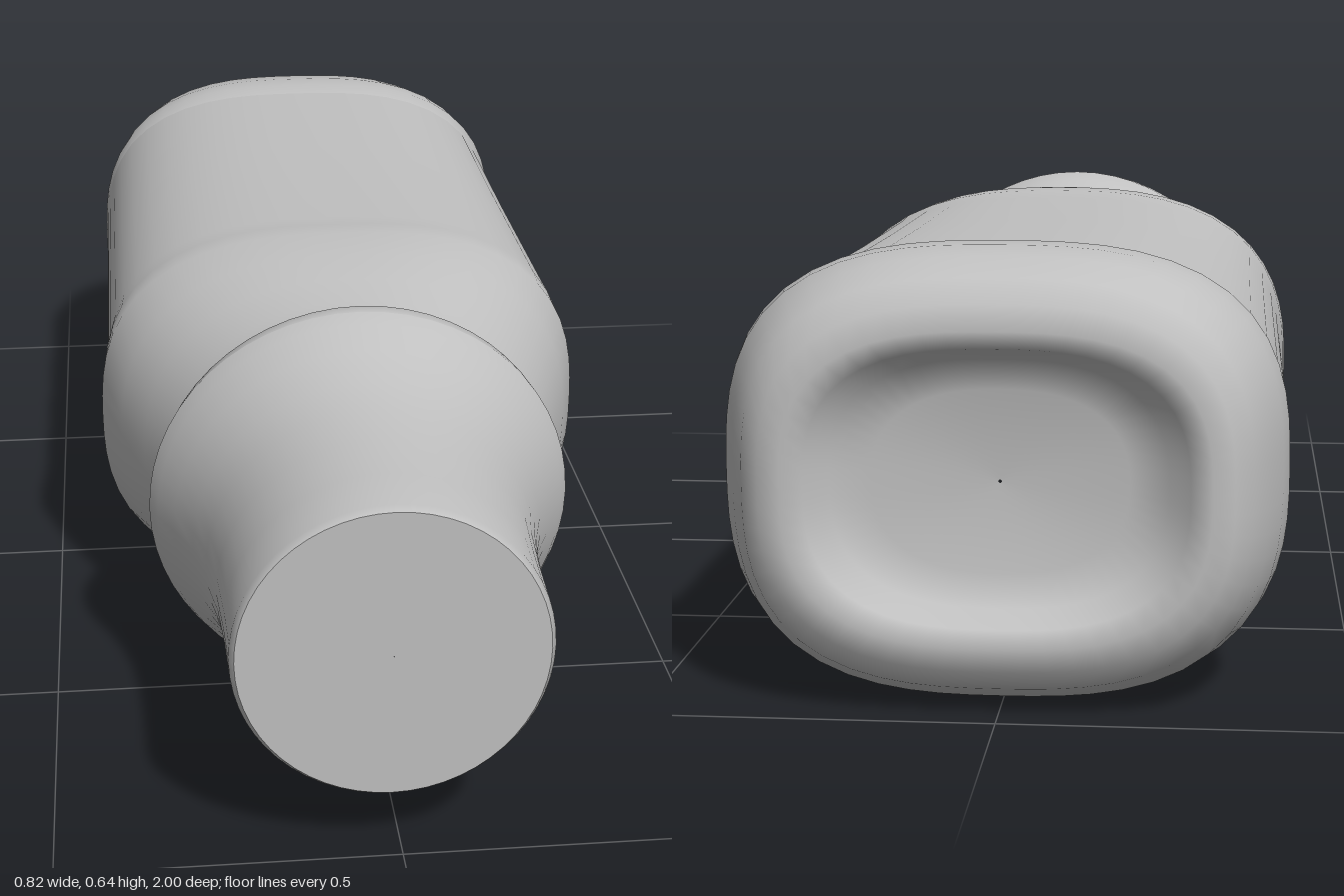
import * as THREE from 'three';

const SEGMENTS = 56;

// Superellipse outline: n = 2 is round, higher is squarer
function ring([z, x0, x1, y0, y1, n]) {
  const points = [];
  for (let i = 0; i < SEGMENTS; i++) {
    const a = (i / SEGMENTS) * Math.PI * 2;
    const c = Math.cos(a), s = Math.sin(a);
    const r = Math.pow(Math.abs(c) ** n + Math.abs(s) ** n, -1 / n);
    points.push((x0 + x1) / 2 + ((x1 - x0) / 2) * r * c,
      (y0 + y1) / 2 + ((y1 - y0) / 2) * r * s, z);
  }
  return points;
}

// Skin through sections listed from front to back
function loft(name, sections, material) {
  const positions = sections.flatMap(ring);
  const index = [];
  for (let k = 0; k < sections.length - 1; k++) {
    for (let i = 0; i < SEGMENTS; i++) {
      const j = (i + 1) % SEGMENTS;
      const a = k * SEGMENTS + i, b = k * SEGMENTS + j;
      const c = a + SEGMENTS, d = b + SEGMENTS;
      index.push(a, c, b, b, c, d);
    }
  }
  const geometry = new THREE.BufferGeometry();
  geometry.setAttribute('position', new THREE.Float32BufferAttribute(positions, 3));
  geometry.setIndex(index);
  geometry.computeVertexNormals();
  const mesh = new THREE.Mesh(geometry, material);
  mesh.name = name;
  return mesh;
}

export function createModel() {
  const bottle = new THREE.Group();
  bottle.name = 'bottle';
  const grey = new THREE.MeshStandardMaterial({ color: 0xc0c0c0 });
  grey.name = 'plain grey';

  // Sections: z, left x, right x, bottom y, top y, squareness
  const mouth = [0.99, -0.245, 0.212, 0.106, 0.562, 2];
  const flare = [0.5, -0.342, 0.322, 0.012, 0.65, 2];
  const groove = [0.41, -0.297, 0.29, 0.045, 0.615, 2.1];
  const heel = [-0.76, -0.4, 0.4, 0.022, 0.645, 2.8];

  // Flat closed end of the neck
  bottle.add(loft('neckEnd', [
    [1, -0.017, -0.016, 0.333, 0.334, 2],
    [1, -0.238, 0.205, 0.113, 0.555, 2],
  ], grey));

  bottle.add(loft('neck', [
    [1, -0.238, 0.205, 0.113, 0.555, 2],
    mouth,
    [0.9, -0.247, 0.215, 0.105, 0.566, 2],
    [0.8, -0.252, 0.222, 0.1, 0.572, 2],
    [0.72, -0.263, 0.235, 0.088, 0.582, 2],
    [0.65, -0.28, 0.253, 0.068, 0.595, 2],
    [0.58, -0.306, 0.28, 0.043, 0.618, 2],
    [0.53, -0.33, 0.308, 0.021, 0.641, 2],
    flare,
  ], grey));

  bottle.add(loft('collar', [
    flare,
    [0.48, -0.335, 0.318, 0.011, 0.652, 2],
    [0.45, -0.313, 0.3, 0.023, 0.638, 2],
    groove,
  ], grey));

  bottle.add(loft('shoulderAndBody', [
    groove,
    [0.37, -0.312, 0.312, 0.042, 0.618, 2.15],
    [0.3, -0.345, 0.34, 0.033, 0.63, 2.25],
    [0.22, -0.382, 0.372, 0.021, 0.643, 2.4],
    [0.13, -0.414, 0.402, 0.015, 0.65, 2.6],
    [0.08, -0.41, 0.401, 0.018, 0.648, 2.7],
    [0.02, -0.403, 0.399, 0.027, 0.64, 2.8],
    [-0.4, -0.401, 0.398, 0.028, 0.641, 2.8],
    heel,
  ], grey));

  // Raised heel band rounding over the rim into a hollow base
  bottle.add(loft('base', [
    heel,
    [-0.8, -0.402, 0.41, 0.007, 0.652, 2.8],
    [-0.85, -0.392, 0.401, 0.008, 0.651, 2.8],
    [-0.91, -0.373, 0.378, 0.018, 0.642, 2.8],
    [-0.96, -0.35, 0.355, 0.044, 0.618, 2.8],
    [-0.985, -0.325, 0.328, 0.075, 0.585, 2.8],
    [-0.997, -0.295, 0.295, 0.11, 0.55, 2.8],
    [-0.985, -0.265, 0.265, 0.135, 0.525, 2.7],
    [-0.945, -0.235, 0.235, 0.155, 0.505, 2.6],
    [-0.925, -0.18, 0.18, 0.2, 0.46, 2.4],
    [-0.92, -0.002, 0.002, 0.328, 0.332, 2],
  ], grey));

  return bottle;
}
